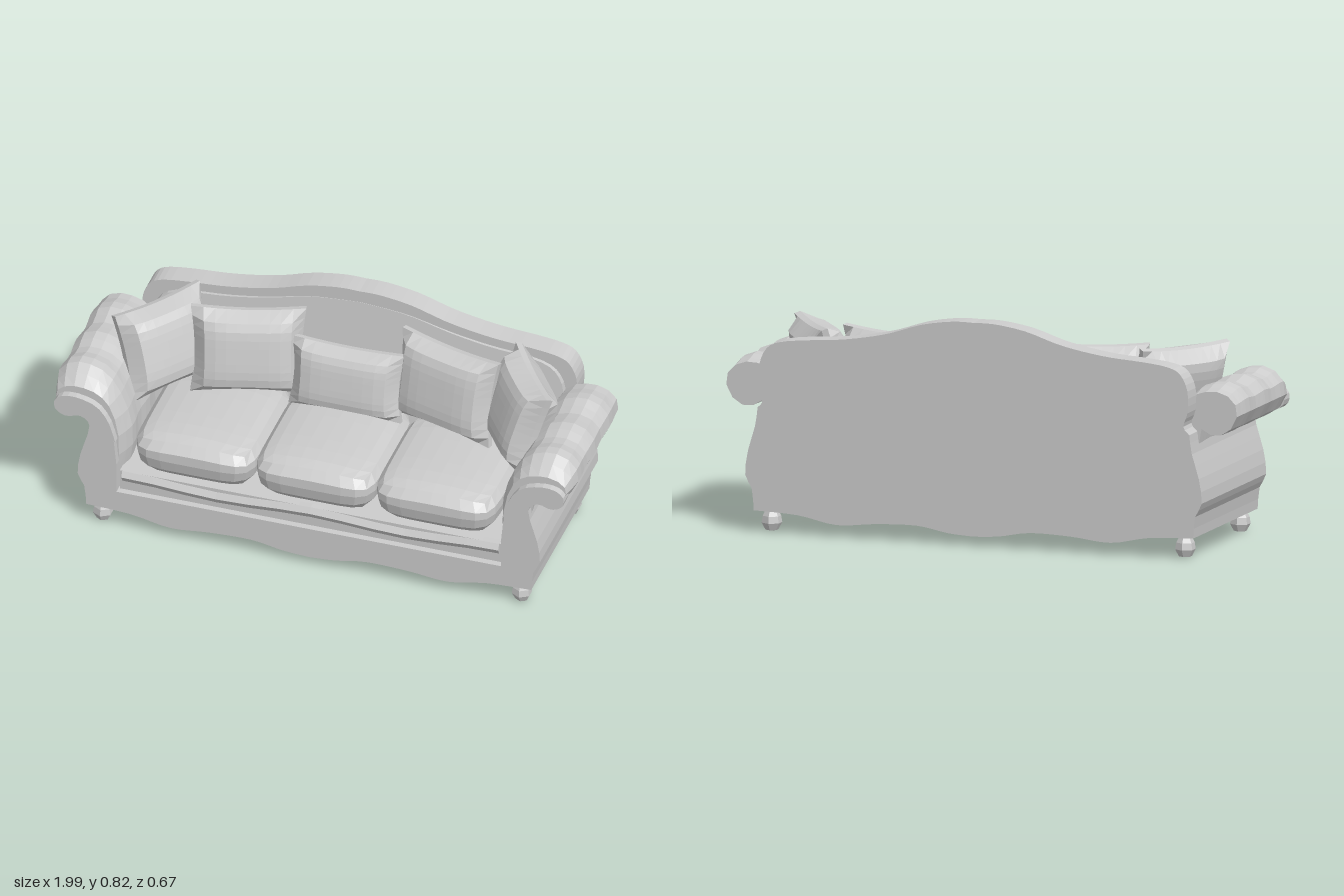
import * as THREE from 'three';

const material = new THREE.MeshStandardMaterial({ color: 0xcccccc, flatShading: true, side: THREE.DoubleSide });

function add(parent, name, geometry) {
  const mesh = new THREE.Mesh(geometry, material);
  mesh.name = name;
  parent.add(mesh);
  return mesh;
}

const vecs = (pts, side = 1) => pts.map(([x, y]) => new THREE.Vector2(x * side, y));

// Smooth curve through a few points
const smooth = (pts, n) => new THREE.SplineCurve(vecs(pts)).getPoints(n).map((p) => [p.x, p.y]);

// Closed outline from its +x half, listed from the bottom centre to the top centre
const mirrored = (half) =>
  new THREE.Shape([...vecs(half), ...vecs(half.filter(([x]) => x > 0).reverse(), -1)]);

function extrude(shape, z0, z1, steps = 1) {
  const geo = new THREE.ExtrudeGeometry(shape, { depth: z1 - z0, steps, bevelEnabled: false });
  return geo.translate(0, 0, z0);
}

function eachVertex(geo, rule) {
  const pos = geo.attributes.position;
  const v = new THREE.Vector3();
  for (let i = 0; i < pos.count; i++) {
    rule(v.fromBufferAttribute(pos, i));
    pos.setXYZ(i, v.x, v.y, v.z);
  }
  geo.computeVertexNormals();
  return geo;
}

// Box-shaped cushion with rounded edges, a crowned top and a narrower underside
function seatCushion(w, h, d) {
  return eachVertex(new THREE.BoxGeometry(2, 2, 2, 8, 4, 8), (v) => {
    const m = Math.max(Math.abs(v.x), Math.abs(v.y), Math.abs(v.z));
    const n = 6;
    const p = (Math.abs(v.x) ** n + Math.abs(v.y) ** n + Math.abs(v.z) ** n) ** (1 / n);
    v.multiplyScalar(m / p);
    const taper = v.y < 0 ? 1 + 0.08 * v.y : 1;
    const crown = v.y > 0 ? 1 - 0.25 * v.x * v.x - 0.15 * v.z ** 4 : 1;
    v.set(v.x * taper * w / 2, v.y * crown * h / 2, v.z * taper * d / 2);
  });
}

// Throw pillow: plump body, thin rim and pulled-out corners
function pillow(w, h, t) {
  return eachVertex(new THREE.BoxGeometry(2, 2, 2, 10, 10, 2), (v) => {
    const puff = 0.14 + 0.86 * ((1 - v.x ** 4) * (1 - v.y ** 4)) ** 0.4;
    const ear = 0.93 + 0.07 * v.x * v.x * v.y * v.y;
    v.set(v.x * ear * w / 2, v.y * ear * h / 2, v.z * puff * t / 2);
  });
}

export function createModel() {
  const sofa = new THREE.Group();
  sofa.name = 'sofa';

  // Base with scalloped lower edge, wavy sides and low arm walls
  const scallop = smooth([[0, 0.035], [0.1, 0.042], [0.22, 0.062], [0.38, 0.058], [0.53, 0.045], [0.68, 0.072], [0.85, 0.08]], 24);
  const flank = smooth([[0.85, 0.08], [0.858, 0.16], [0.883, 0.21], [0.872, 0.3], [0.845, 0.39], [0.835, 0.46]], 10);
  const outer = [...scallop, ...flank.slice(1)];
  const inner = [[0.77, 0.46], [0.745, 0.38], [0.735, 0.28], [0.735, 0.16], [0, 0.16]];
  add(sofa, 'base', extrude(mirrored([...outer, ...inner]), -0.25, 0.335));

  // Humped back panel, notched above the flanks and running down to the scalloped edge
  const crest = smooth([[0.835, 0.46], [0.812, 0.49], [0.828, 0.54], [0.828, 0.62], [0.8, 0.68], [0.75, 0.705],
    [0.65, 0.718], [0.53, 0.727], [0.42, 0.743], [0.32, 0.765], [0.2, 0.803], [0.08, 0.822], [0, 0.822]], 36);
  add(sofa, 'backPanel', extrude(mirrored([...outer, ...crest.slice(1)]), -0.335, -0.25));

  // Sloping upholstery in front of the back panel
  const padEdge = smooth([[0.77, 0.24], [0.79, 0.5], [0.77, 0.62], [0.69, 0.675], [0.5, 0.695], [0.35, 0.72], [0.18, 0.76], [0, 0.775]], 24);
  const padding = eachVertex(extrude(mirrored([[0, 0.24], ...padEdge]), -0.26, -0.24), (v) => {
    if (v.z > -0.25) v.z = -0.249 + 0.12 * (0.775 - v.y);
  });
  add(sofa, 'backPadding', padding);

  // Seat deck and the loose cloth edge in front of it
  const deck = add(sofa, 'seatDeck', new THREE.BoxGeometry(1.46, 0.09, 0.56));
  deck.position.set(0, 0.195, 0.03);
  const lip = add(sofa, 'seatEdge', new THREE.CylinderGeometry(0.025, 0.025, 1.44, 6, 12));
  eachVertex(lip.geometry, (v) => { v.x += 0.008 * Math.cos(v.y * 9); });
  lip.rotation.z = Math.PI / 2;
  lip.position.set(0, 0.212, 0.3);

  // Rolled arms with lumpy padding, scroll fronts and feet
  const rollProfile = smooth([[0.85, 0.47], [0.9, 0.447], [0.96, 0.465], [0.996, 0.53], [0.978, 0.595], [0.92, 0.627],
    [0.86, 0.624], [0.8, 0.595], [0.755, 0.53], [0.72, 0.44], [0.705, 0.34], [0.72, 0.22]], 15);
  const scrollProfile = smooth([[0.835, 0.41], [0.845, 0.45], [0.88, 0.468], [0.925, 0.455], [0.967, 0.475], [0.972, 0.515],
    [0.94, 0.542], [0.88, 0.545], [0.81, 0.52], [0.765, 0.46], [0.74, 0.38]], 22);
  const foot = [[0, 0], [0.024, 0.004], [0.038, 0.03], [0.034, 0.055], [0.022, 0.078], [0.02, 0.09]];
  for (const side of [1, -1]) {
    const arm = new THREE.Group();
    arm.name = side > 0 ? 'leftArm' : 'rightArm';
    sofa.add(arm);

    const rollShape = new THREE.Shape(vecs([...rollProfile, [0.8, 0.22]], side));
    const roll = eachVertex(extrude(rollShape, -0.25, 0.308, 14), (v) => {
      const front = Math.sqrt(THREE.MathUtils.clamp((0.308 - v.z) / 0.08, 0, 1));
      const back = THREE.MathUtils.smoothstep(v.z, -0.29, -0.2);
      const lump = 0.95 + 0.06 * Math.cos((v.z - 0.21) * 2 * Math.PI / 0.175);
      const s = (0.65 + 0.35 * front) * (0.9 + 0.1 * back) * lump;
      v.x = side * 0.87 + (v.x - side * 0.87) * (0.6 + 0.4 * s);
      if (v.y > 0.5) v.y = 0.5 + (v.y - 0.5) * s;
    });
    add(arm, 'armRoll', roll);
    add(arm, 'armScroll', extrude(new THREE.Shape(vecs(scrollProfile, side)), 0.28, 0.335));

    for (const z of [0.29, -0.28]) {
      add(sofa, 'foot', new THREE.LatheGeometry(vecs(foot), 6)).position.set(side * 0.8, 0, z);
    }
  }

  // Seat cushions
  for (const i of [-1, 0, 1]) {
    const seat = add(sofa, 'seatCushion', seatCushion(0.465, 0.18, 0.54));
    seat.position.set(i * 0.459, 0.325, 0.052);
  }

  // Back cushions and corner pillows: [x, y, z, width, height, thickness, yaw, lean]
  const place = (name, [x, y, z, w, h, t, yaw, lean]) => {
    const p = add(sofa, name, pillow(w, h, t));
    p.position.set(x, y, z);
    p.rotation.set(lean, yaw, 0, 'YXZ');
  };
  place('middleBackCushion', [0, 0.53, -0.11, 0.43, 0.27, 0.15, 0, -0.18]);
  for (const side of [1, -1]) {
    place('sideBackCushion', [side * 0.38, 0.575, -0.115, 0.42, 0.34, 0.16, -side * 0.28, -0.18]);
    place('cornerPillow', [side * 0.68, 0.582, -0.05, 0.38, 0.34, 0.17, -side * 0.95, -0.32]);
  }

  return sofa;
}
